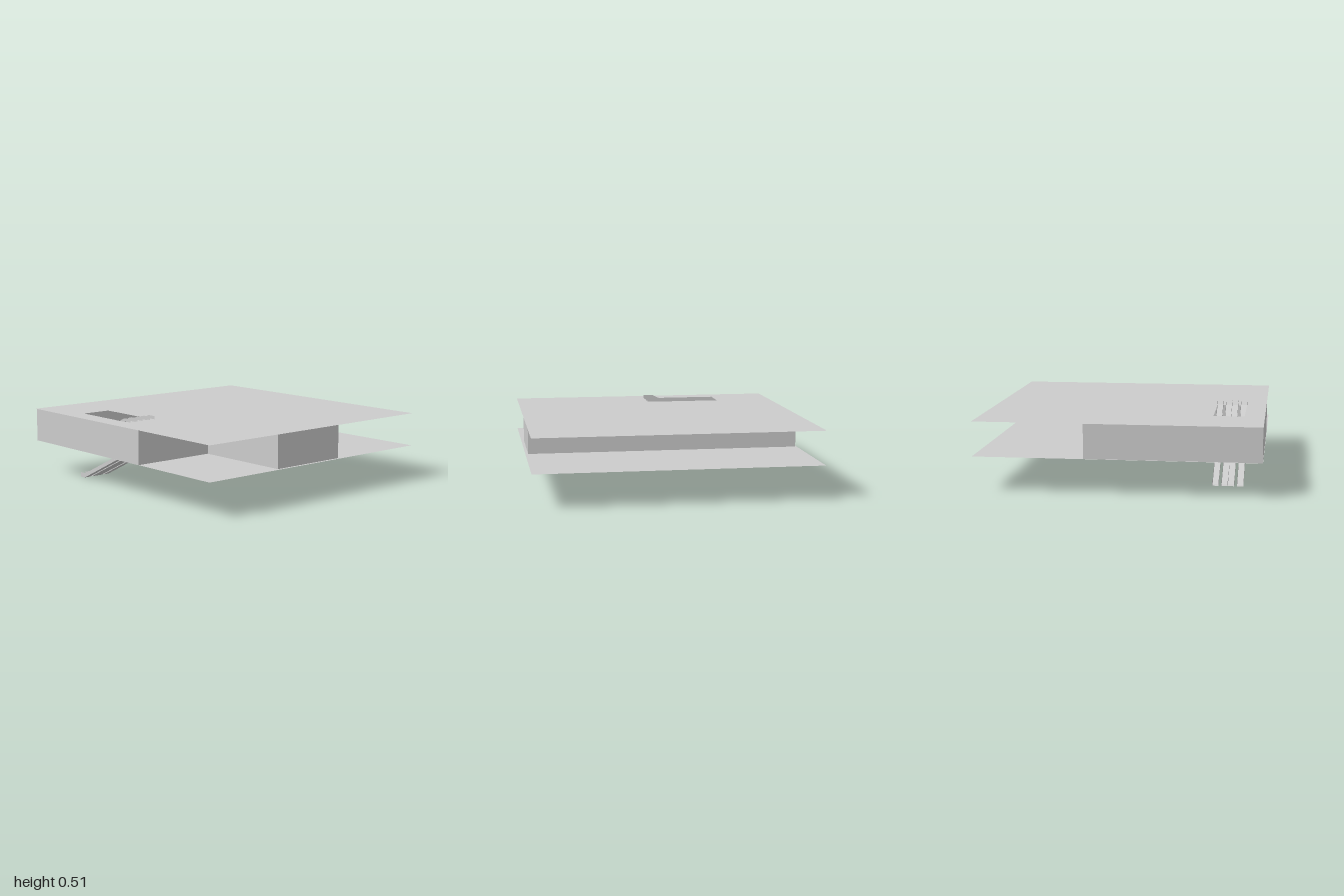
import * as THREE from 'three';

const material = new THREE.MeshStandardMaterial({ color: 0xcccccc, side: THREE.DoubleSide, flatShading: true });
const STOREY = 0.24;

function part(name, geometry) {
  const mesh = new THREE.Mesh(geometry, material);
  mesh.name = name;
  return mesh;
}

// Strip of quads sweeping a list of [a, b] points between two limits
function ribbon(points, place) {
  const pos = [], index = [];
  points.forEach((p, i) => {
    pos.push(...place(p, 0), ...place(p, 1));
    if (i) {
      const k = 2 * i;
      index.push(k - 2, k, k - 1, k - 1, k, k + 1);
    }
  });
  const g = new THREE.BufferGeometry();
  g.setAttribute('position', new THREE.Float32BufferAttribute(pos, 3));
  g.setIndex(index);
  const flat = g.toNonIndexed();
  flat.computeVertexNormals();
  return flat;
}

function polygon(points) {
  return points.map(([x, y]) => new THREE.Vector2(x, y));
}

// Thin floor sheet with the stairwell opening
function floorSheet(name, y) {
  const shape = new THREE.Shape(polygon([[-1, -0.98], [1, -0.98], [1, 0.98], [-1, 0.98]]));
  shape.holes.push(new THREE.Path(polygon([[-0.57, -0.84], [-0.57, -0.625], [-0.07, -0.625], [-0.07, -0.84]])));
  const g = new THREE.ShapeGeometry(shape);
  g.rotateX(-Math.PI / 2);
  g.translate(0, y, 0);
  return part(name, g);
}

// One bank of escalators: four channels, each a tread bed between two side panels
function escalators(name, y) {
  const group = new THREE.Group();
  group.name = name;
  const bed = [[-0.63, 0], [-0.58, 0], [-0.07, 0.243], [-0.01, 0.243]];
  const rail = [[-0.01, 0.266], [-0.08, 0.266], [-0.57, 0.034], [-0.63, 0.034]];
  const side = new THREE.ShapeGeometry(new THREE.Shape(polygon([...bed, ...rail])));
  const lanes = [[0.625, 0.668], [0.688, 0.732], [0.732, 0.776], [0.796, 0.84]];
  for (const lane of lanes) {
    group.add(part('treadBed', ribbon(bed, ([x, h], k) => [x, h, lane[1 - k]])));
    for (const z of lane) {
      const panel = part('sidePanel', side);
      panel.position.z = z;
      group.add(panel);
    }
  }
  group.position.y = y;
  return group;
}

export function createModel() {
  const model = new THREE.Group();
  model.name = 'building';

  model.add(floorSheet('lowerFloor', STOREY), floorSheet('upperFloor', 2 * STOREY));

  // Outer walls around the notched plan, between the two floors
  const plan = [[-0.99, 0.978], [0.26, 0.978], [0.26, 0.36], [0.98, 0.36], [0.98, -0.22], [-0.99, -0.22], [-0.99, 0.978]];
  model.add(part('outerWalls', ribbon(plan, ([x, z], k) => [x, STOREY * (1 + k), z])));

  model.add(escalators('lowerEscalators', 0), escalators('upperEscalators', STOREY));
  return model;
}
